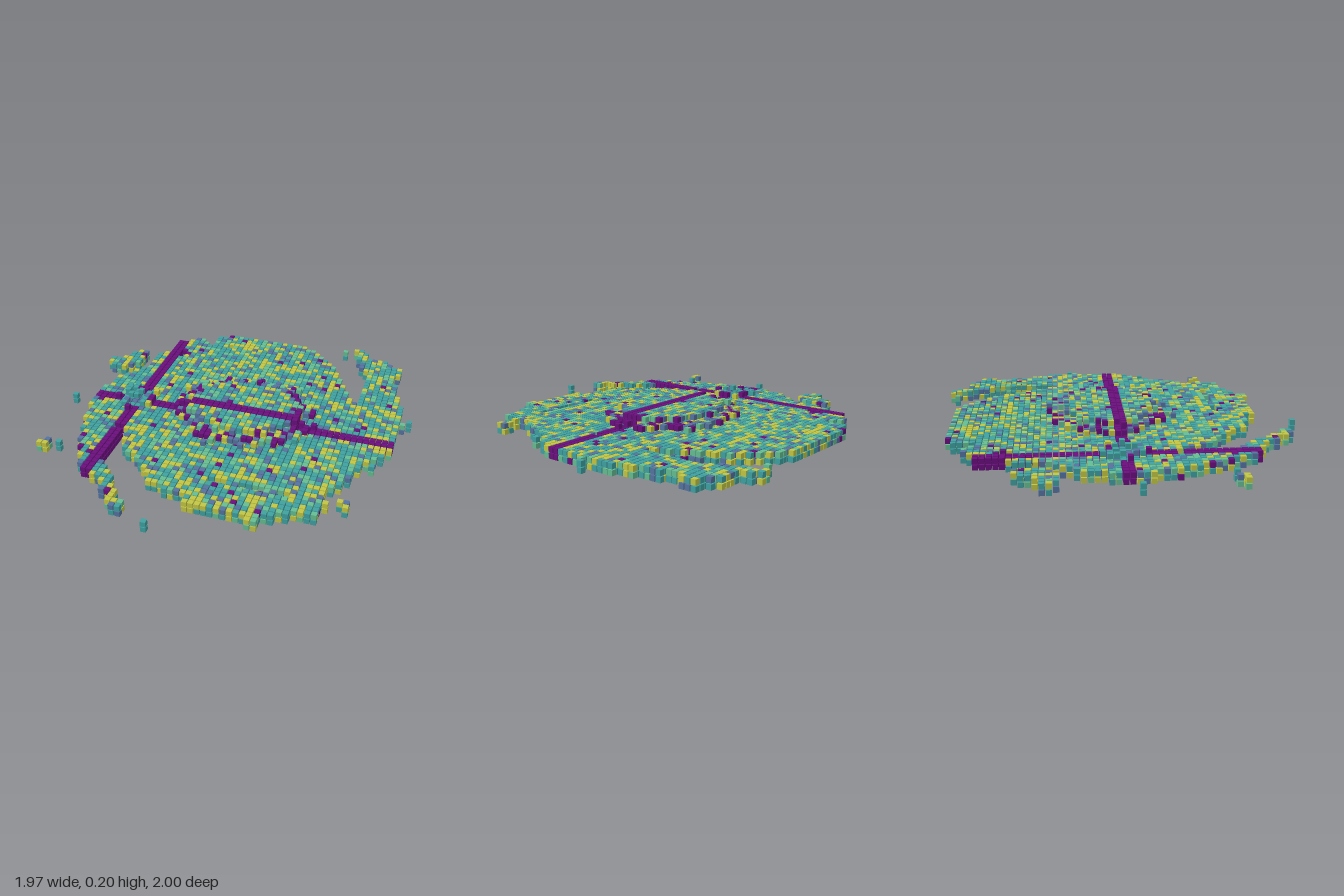
import * as THREE from 'three';
import { mergeGeometries } from 'three/addons/utils/BufferGeometryUtils.js';

const PITCH = 0.0334, SIZE = 0.0285;
const COLORS = { teal: 0x3fa0a0, green: 0x66bd92, yellow: 0xc2c644, slate: 0x55739f, purple: 0x6a0f7d };

// Plan outlines as x, z pairs
const DISC = [
  -0.28, -0.93, -0.2, -0.95, 0.18, -0.95, 0.31, -0.86, 0.38, -0.79, 0.48, -0.66, 0.52, -0.56, 0.58, -0.45, 0.61, -0.38,
  0.91, -0.38, 0.91, 0.04, 0.87, 0.14, 0.78, 0.23, 0.74, 0.36, 0.64, 0.53, 0.67, 0.58, 0.64, 0.69, 0.5, 0.72,
  0.36, 0.8, 0, 0.8, -0.03, 0.75, -0.23, 0.7, -0.29, 0.62, -0.38, 0.53, -0.48, 0.45, -0.52, 0.36, -0.55, 0.27,
  -0.82, 0.24, -0.85, 0.05, -0.85, -0.05, -0.82, -0.18, -0.79, -0.25, -0.7, -0.38, -0.7, -0.53, -0.64, -0.58,
  -0.61, -0.75, -0.57, -0.77, -0.48, -0.84, -0.38, -0.77, -0.38, -0.9];
const RIGHT_ARM = [
  0.52, -1, 0.58, -1, 0.62, -0.92, 0.74, -0.9, 0.77, -0.86, 0.84, -0.83, 0.84, -0.74, 0.81, -0.7,
  0.84, -0.62, 0.87, -0.5, 0.91, -0.38, 0.65, -0.38, 0.65, -0.7, 0.58, -0.8, 0.55, -0.93];
const LEFT_ARM = [
  -0.81, 0.24, -0.555, 0.24, -0.555, 0.53, -0.52, 0.64, -0.45, 0.66, -0.42, 0.74, -0.36, 0.8, -0.35, 0.87, -0.29, 0.87,
  -0.29, 0.93, -0.36, 0.93, -0.4, 0.85, -0.45, 0.84, -0.45, 0.78, -0.53, 0.73, -0.62, 0.68, -0.7, 0.55, -0.74, 0.45, -0.78, 0.34];
const LEFT_CLUMP = [
  -0.96, -0.44, -0.89, -0.45, -0.83, -0.54, -0.76, -0.57, -0.76, -0.4, -0.82, -0.36, -0.82, -0.32, -0.92, -0.32];
// Loose stars beyond the rim, and gaps inside it
const STRAYS = [
  -0.97, 0.05, -0.9, 0.52, -0.9, 0.55, -0.93, 0.55, -0.84, 0.52, 0.74, 0.55, 0.77, 0.55, 0.77, 0.58,
  0.33, 0.82, 0.37, 0.82, -0.13, 0.98, 0.47, -0.95, 0.97, -0.25, 0.93, -0.22, 0.83, 0.22, -0.5, -0.82, 0.57, -0.95];
const GAPS = [
  0.07, 0.58, 0.1, 0.58, 0.13, 0.58, 0.23, 0.58, 0.27, 0.58, 0.3, 0.58, 0.33, 0.58, 0.43, 0.58, 0.47, 0.58,
  0.6, 0.02, -0.27, -0.78, -0.6, 0.28, -0.57, 0.28, -0.53, -0.58, -0.53, -0.62];

function inside(outline, x, z) {
  let hit = false;
  for (let a = 0, b = outline.length - 2; a < outline.length; b = a, a += 2) {
    const [x1, z1, x2, z2] = [outline[a], outline[a + 1], outline[b], outline[b + 1]];
    if ((z1 > z) !== (z2 > z) && x < (x2 - x1) * (z - z1) / (z2 - z1) + x1) hit = !hit;
  }
  return hit;
}

function nearPoint(list, x, z) {
  for (let a = 0; a < list.length; a += 2) {
    if (Math.abs(list[a] - x) <= PITCH / 2 && Math.abs(list[a + 1] - z) <= PITCH / 2) return true;
  }
  return false;
}

// Repeatable noise from a grid position
function noise(i, j, k) {
  let h = Math.imul(i + 101, 374761393) ^ Math.imul(j + 57, 668265263) ^ Math.imul(k + 211, 1274126177);
  h = Math.imul(h ^ (h >>> 13), 1103515245);
  h = Math.imul(h ^ (h >>> 15), 2246822519);
  return ((h ^ (h >>> 16)) >>> 0) / 4294967296;
}

function inDisc(x, z) {
  if (nearPoint(STRAYS, x, z)) return true;
  if (nearPoint(GAPS, x, z)) return false;
  return [DISC, RIGHT_ARM, LEFT_ARM, LEFT_CLUMP].some(outline => inside(outline, x, z));
}

// Relative distance from the middle of the bulge: 1 is its rim
function bulgeRadius(x, z, outer) {
  return Math.hypot((x - 0.05) / (outer ? 0.37 : 0.43), (z + 0.05) / (outer ? 0.29 : 0.39));
}

function inBulge(i, j, k, x, z) {
  const outer = j === 0 || j === 5;
  if (bulgeRadius(x, z, outer) < 1 - 0.22 * noise(i, j + 20, k)) return true;
  // Small companion cluster where the two dark lanes cross
  return j > 0 && Math.hypot(x + 0.59, z) < (j === 5 ? 0.03 : 0.13) && noise(i, j + 40, k) < 0.45;
}

function pickColor(i, j, k, x, z) {
  const n = noise(i, j, k);
  const cluster = Math.hypot(x + 0.59, z) < 0.08;
  if (!cluster && (k === -1 || k === 0)) return 'purple';
  if (!cluster && (i === -18 || i === -17) && z > -0.77 && z < 0.71) return 'purple';
  if (cluster) return n < 0.7 ? 'teal' : 'slate';
  const r = bulgeRadius(x, z, false);
  if (r > 0.65 && r < 1.02 && j !== 2 && j !== 3) {
    if (n < 0.3) return 'purple';
    if (n < 0.55) return 'slate';
  }
  if (n < 0.02) return 'purple';
  if (n < 0.14) return 'slate';
  if (n < 0.56) return 'teal';
  return n < 0.74 ? 'green' : 'yellow';
}

export function createModel() {
  const model = new THREE.Group();
  model.name = 'spiralGalaxy';
  const box = new THREE.BoxGeometry(SIZE, SIZE, SIZE);
  const parts = { disc: {}, bulge: {} };

  // Disc fills the two middle layers; the bulge adds two above and two below
  for (let i = -29; i <= 29; i++) {
    for (let k = -30; k < 30; k++) {
      const x = i * PITCH, z = (k + 0.5) * PITCH;
      for (let j = 0; j < 6; j++) {
        const middle = j === 2 || j === 3;
        if (!(middle ? inDisc(x, z) : inBulge(i, j, k, x, z))) continue;
        const bins = parts[middle ? 'disc' : 'bulge'];
        const color = pickColor(i, j, k, x, z);
        (bins[color] ??= []).push(box.clone().translate(x, SIZE / 2 + j * PITCH, z));
      }
    }
  }

  // One mesh per part and colour
  for (const [part, bins] of Object.entries(parts)) {
    const group = new THREE.Group();
    group.name = part;
    for (const [color, cubes] of Object.entries(bins)) {
      const mesh = new THREE.Mesh(mergeGeometries(cubes), new THREE.MeshStandardMaterial({ color: COLORS[color] }));
      mesh.name = `${color} stars of ${part}`;
      group.add(mesh);
    }
    model.add(group);
  }
  return model;
}
